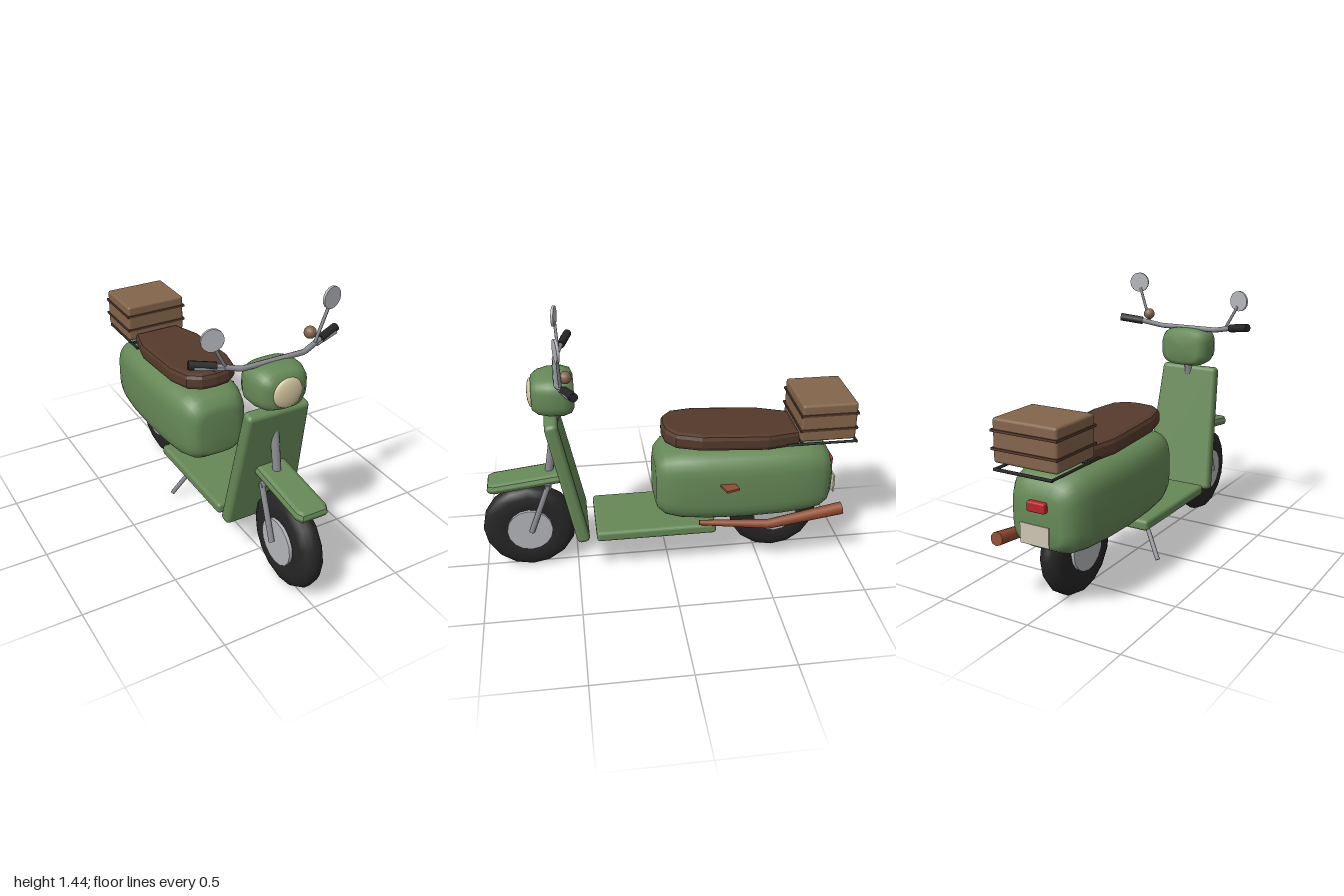
import * as THREE from 'three';
import { RoundedBoxGeometry } from 'three/addons/geometries/RoundedBoxGeometry.js';

const mat = (name, color) => {
  const m = new THREE.MeshStandardMaterial({ color });
  m.name = name;
  return m;
};
const V = (x, y, z) => new THREE.Vector3(x, y, z);

// Skin through rounded-rectangle sections [z, halfWidth, yBottom, yTop], front to back
function loft(sections, power, n = 32) {
  const pos = [], idx = [];
  const bulge = (v) => Math.sign(v) * Math.abs(v) ** (2 / power);
  for (const [z, w, y0, y1] of sections) {
    for (let j = 0; j < n; j++) {
      const a = (j / n) * Math.PI * 2;
      pos.push(w * bulge(Math.cos(a)), (y0 + y1) / 2 + ((y1 - y0) / 2) * bulge(Math.sin(a)), z);
    }
  }
  const last = sections.length - 1;
  for (let i = 0; i < last; i++) {
    for (let j = 0; j < n; j++) {
      const k = (j + 1) % n, a = i * n + j, b = i * n + k;
      idx.push(a, a + n, b, b, a + n, b + n);
    }
  }
  for (const s of [0, last]) {
    const [z, , y0, y1] = sections[s], c = pos.length / 3;
    pos.push(0, (y0 + y1) / 2, z);
    for (let j = 0; j < n; j++) {
      const a = s * n + j, b = s * n + ((j + 1) % n);
      if (s === 0) idx.push(c, a, b);
      else idx.push(c, b, a);
    }
  }
  const g = new THREE.BufferGeometry();
  g.setAttribute('position', new THREE.Float32BufferAttribute(pos, 3));
  g.setIndex(idx);
  g.computeVertexNormals();
  return g;
}

// Bevelled plate from a 2D outline, centred on its thickness
function plate(points, thickness, bevel) {
  const shape = new THREE.Shape(points.map(([x, y]) => new THREE.Vector2(x, y)));
  return new THREE.ExtrudeGeometry(shape, {
    depth: thickness - 2 * bevel, bevelThickness: bevel, bevelSize: bevel,
    bevelOffset: -bevel, bevelSegments: 2,
  }).translate(0, 0, bevel - thickness / 2);
}

export function createModel() {
  const group = new THREE.Group();
  group.name = 'scooter';
  const green = mat('green paint', 0x668957), wood = mat('case brown', 0x84654b);
  const leather = mat('seat brown', 0x553a2c), copper = mat('copper', 0x914b2f);
  const black = mat('black rubber', 0x262626), steel = mat('steel', 0x8a8c91);
  const silver = mat('light silver', 0xb6b8bc), cream = mat('lens cream', 0xd8c8a2);
  const pale = mat('plate grey', 0xcdc4b2), red = mat('tail red', 0xb8262b);

  const add = (name, geo, material, x = 0, y = 0, z = 0, rx = 0, ry = 0, rz = 0) => {
    const m = new THREE.Mesh(geo, material);
    m.name = name;
    m.position.set(x, y, z);
    m.rotation.set(rx, ry, rz);
    group.add(m);
    return m;
  };
  // Tapered rod from a to b
  const rod = (name, a, b, r0, r1, material, sides = 10) => {
    const m = add(name, new THREE.CylinderGeometry(r1, r0, a.distanceTo(b), sides), material);
    m.position.copy(a).lerp(b, 0.5);
    m.quaternion.setFromUnitVectors(V(0, 1, 0), b.clone().sub(a).normalize());
    return m;
  };
  const box = (w, h, d) => new THREE.BoxGeometry(w, h, d);

  // Wheels
  const half = [[0.115, 0.055], [0.15, 0.063], [0.2, 0.06], [0.235, 0.042], [0.25, 0.015]];
  const tread = [
    ...half.map(([r, x]) => new THREE.Vector2(r, -x)),
    ...half.map(([r, x]) => new THREE.Vector2(r, x)).reverse(),
  ];
  for (const [name, z] of [['front', 0.75], ['rear', -0.6]]) {
    add(name + 'Tyre', new THREE.LatheGeometry(tread, 16), black, 0, 0.254, z, 0, 0, Math.PI / 2);
    add(name + 'Hub', new THREE.CylinderGeometry(0.122, 0.122, 0.146, 16), silver, 0, 0.256, z, 0, 0, Math.PI / 2);
  }

  // Front fork, steering column, fender and rear arm
  for (const s of [-1, 1]) {
    rod('forkLeg', V(s * 0.09, 0.26, 0.74), V(s * 0.09, 0.545, 0.635), 0.015, 0.015, steel);
  }
  rod('forkCrown', V(-0.1, 0.535, 0.638), V(0.1, 0.535, 0.638), 0.018, 0.018, steel);
  rod('steeringColumn', V(0, 0.5, 0.64), V(0, 1.0, 0.56), 0.022, 0.022, steel);
  rod('rearArm', V(0, 0.275, -0.2), V(0, 0.29, -0.38), 0.022, 0.022, steel);
  add('frontFender', plate([[-0.087, -0.21], [0.087, -0.21], [0.087, 0.18], [0.068, 0.215],
    [-0.068, 0.215], [-0.087, 0.18]], 0.055, 0.025), green, 0, 0.548, 0.742, Math.PI / 2 + 0.12);

  // Leg shield, narrowing upward, and footboard
  const shield = new RoundedBoxGeometry(0.41, 0.705, 0.07, 3, 0.025);
  const sp = shield.attributes.position;
  for (let i = 0; i < sp.count; i++) sp.setX(i, sp.getX(i) * (0.91 - 0.26 * sp.getY(i)));
  add('legShield', shield, green, 0, 0.583, 0.535, 0.2);
  add('footboard', new RoundedBoxGeometry(0.39, 0.058, 0.645, 2, 0.018), green, 0, 0.258, 0.075);
  rod('kickstand', V(-0.065, 0.24, -0.06), V(-0.195, 0.03, -0.13), 0.012, 0.012, steel, 8);

  // Rear body shell
  add('rearBody', loft([
    [0.07, 0.11, 0.38, 0.61], [0.06, 0.145, 0.35, 0.65], [0.02, 0.18, 0.32, 0.69], [-0.06, 0.205, 0.302, 0.71],
    [-0.2, 0.219, 0.29, 0.716], [-0.4, 0.226, 0.285, 0.716], [-0.6, 0.224, 0.288, 0.715], [-0.74, 0.212, 0.295, 0.708],
    [-0.82, 0.192, 0.305, 0.685], [-0.865, 0.165, 0.33, 0.65], [-0.888, 0.125, 0.36, 0.59]], 3.6), green);

  // Saddle
  const seat = plate([[-0.08, -0.352], [0, -0.362], [0.08, -0.352], [0.145, -0.3], [0.178, -0.17], [0.178, 0.18],
    [0.13, 0.36], [-0.13, 0.36], [-0.178, 0.18], [-0.178, -0.17], [-0.145, -0.3]], 0.09, 0.025);
  seat.rotateX(-Math.PI / 2);
  add('seat', seat, leather, 0, 0.765, -0.33, -0.06);

  // Luggage case with straps on a wire rack
  add('luggageCase', new RoundedBoxGeometry(0.35, 0.21, 0.295, 2, 0.014), wood, 0, 0.853, -0.83);
  for (const y of [0.815, 0.9]) add('caseStrap', box(0.362, 0.012, 0.307), leather, 0, y, -0.83);
  for (const x of [-0.155, 0.155]) rod('rackRail', V(x, 0.725, -0.62), V(x, 0.725, -0.992), 0.008, 0.008, black, 6);
  for (const z of [-0.7, -0.992]) rod('rackCrossbar', V(-0.16, 0.725, z), V(0.16, 0.725, z), 0.008, 0.008, black, 6);

  // Headlight housing and lens
  add('headlightHousing', loft([
    [0.688, 0.09, 0.967, 1.123], [0.655, 0.125, 0.95, 1.145], [0.6, 0.143, 0.942, 1.156],
    [0.53, 0.145, 0.942, 1.156], [0.49, 0.128, 0.952, 1.145], [0.475, 0.1, 0.975, 1.115]], 3.2), green, 0, -0.002, 0);
  const lens = new THREE.SphereGeometry(0.078, 20, 6, 0, Math.PI * 2, 0, Math.PI / 2);
  lens.scale(1, 0.3, 1).rotateX(Math.PI / 2);
  add('headlightLens', lens, cream, 0, 1.045, 0.688);

  // Handlebar with grips and levers
  const path = new THREE.CurvePath();
  const bar = [V(-0.39, 1.193, 0.487), V(-0.28, 1.176, 0.525), V(-0.17, 1.152, 0.56), V(0.17, 1.152, 0.56),
    V(0.28, 1.176, 0.525), V(0.39, 1.193, 0.487)];
  for (let i = 0; i < 5; i++) path.add(new THREE.LineCurve3(bar[i], bar[i + 1]));
  add('handlebar', new THREE.TubeGeometry(path, 40, 0.014, 8), steel);
  for (const s of [-1, 1]) {
    rod('grip', V(s * 0.28, 1.176, 0.525), V(s * 0.4, 1.194, 0.483), 0.022, 0.022, black);
    rod('brakeLever', V(s * 0.25, 1.164, 0.547), V(s * 0.385, 1.184, 0.513), 0.007, 0.007, steel, 6);
  }

  // Mirrors, one taller than the other
  for (const [s, y] of [[1, 1.393], [-1, 1.325]]) {
    rod('mirrorStem', V(s * 0.24, 1.17, 0.54), V(s * 0.308, y - 0.03, 0.548), 0.008, 0.008, steel, 8);
    const disc = new THREE.CylinderGeometry(0.055, 0.055, 0.013, 16).rotateX(Math.PI / 2);
    add('mirror', disc, silver, s * 0.315, y, 0.551, 0, s * 0.2);
  }
  add('bell', new THREE.SphereGeometry(0.031, 14, 10), wood, 0.23, 1.22, 0.515);

  // Exhaust and side pedal on the left
  rod('exhaustPipe', V(0.2, 0.312, -0.15), V(0.235, 0.293, -0.53), 0.014, 0.026, copper);
  rod('muffler', V(0.235, 0.293, -0.52), V(0.222, 0.352, -0.925), 0.026, 0.034, copper);
  add('sidePedal', box(0.1, 0.012, 0.075), copper, 0.232, 0.547, -0.298, 0, 0.3);

  // Tail light and blank rear plate
  add('tailLight', new RoundedBoxGeometry(0.1, 0.05, 0.034, 2, 0.008), red, 0, 0.546, -0.898);
  add('rearPlate', box(0.16, 0.1, 0.008), pale, 0, 0.418, -0.922);
  return group;
}
